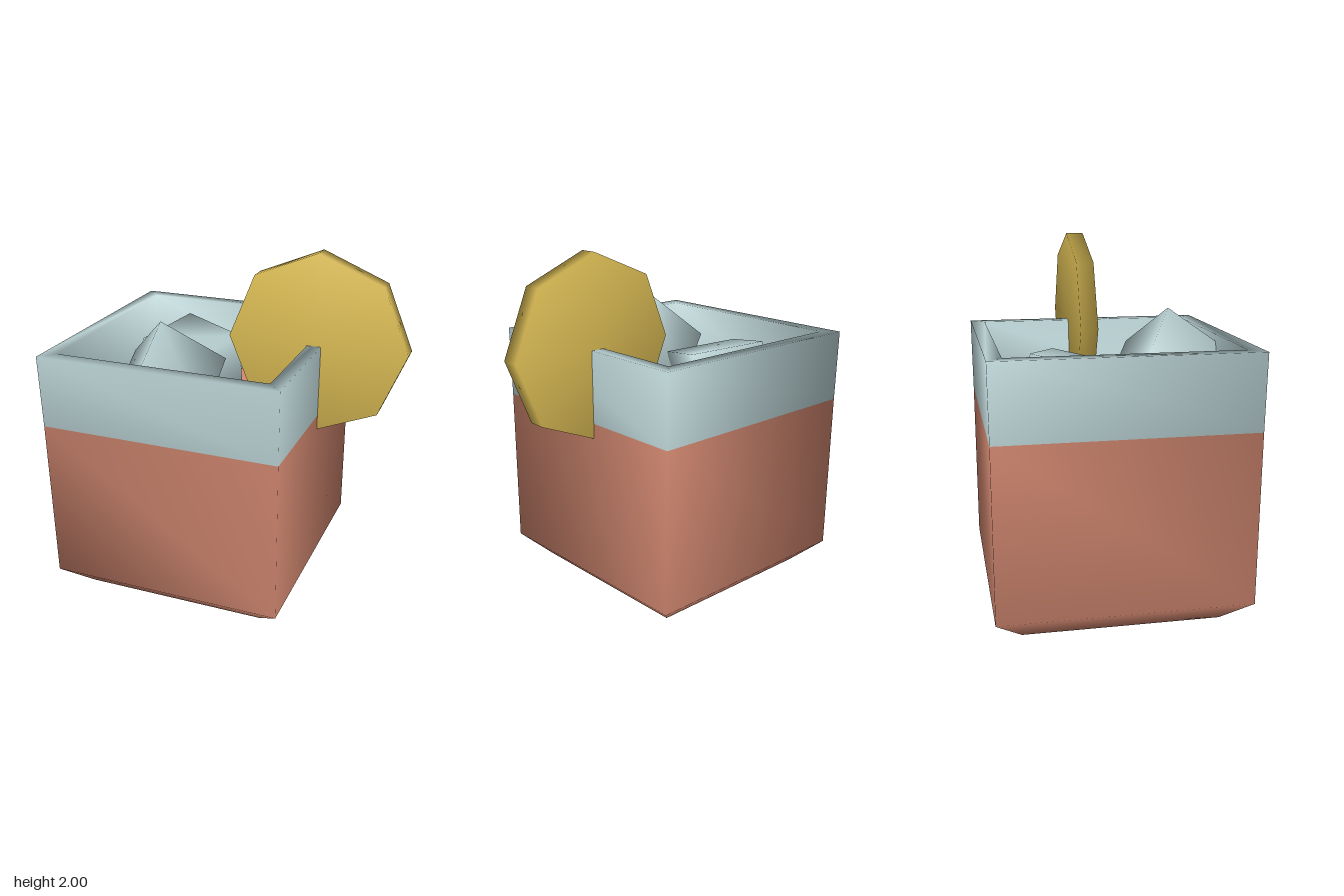
import * as THREE from 'three';
import { mergeVertices } from 'three/addons/utils/BufferGeometryUtils.js';

const mat = (name, color) => {
  const m = new THREE.MeshStandardMaterial({ color });
  m.name = name;
  return m;
};

// Shares all corners so the shading runs softly over the edges
function smooth(geometry) {
  geometry.deleteAttribute('normal');
  geometry.deleteAttribute('uv');
  const merged = mergeVertices(geometry);
  merged.computeVertexNormals();
  return merged;
}

// Square rings [half width, height] lofted from the base up and over the rim
function squareLoft(rings, splitRing) {
  const positions = [], index = [0, 1, 2, 0, 2, 3];
  for (const [h, y] of rings) {
    positions.push(-h, y, -h, h, y, -h, h, y, h, -h, y, h);
  }
  for (let r = 0; r < rings.length - 1; r++) {
    for (let i = 0; i < 4; i++) {
      const j = (i + 1) % 4;
      const a = r * 4 + i, b = r * 4 + j, c = a + 4, d = b + 4;
      index.push(a, c, d, a, d, b);
    }
  }
  const g = new THREE.BufferGeometry();
  g.setAttribute('position', new THREE.Float32BufferAttribute(positions, 3));
  g.setIndex(index);
  g.computeVertexNormals();
  const split = 6 + splitRing * 24;
  g.addGroup(0, split, 0);
  g.addGroup(split, index.length - split, 1);
  return g;
}

// Ice cube spanned by three edges from one corner
function iceCube(corner, e1, e2, e3) {
  const v = (a) => new THREE.Vector3(...a);
  const m = new THREE.Matrix4().makeBasis(v(e1), v(e2), v(e3)).setPosition(v(corner));
  return smooth(new THREE.BoxGeometry(1, 1, 1).translate(0.5, 0.5, 0.5)).applyMatrix4(m);
}

export function createModel() {
  const group = new THREE.Group();
  const drink = mat('coral drink', 0xd78b73);
  const ice = mat('pale ice blue', 0xbdd5d7);
  const fruit = mat('lemon yellow', 0xdcbd55);

  const add = (name, geometry, material, x = 0, y = 0, z = 0) => {
    const mesh = new THREE.Mesh(geometry, material);
    mesh.name = name;
    mesh.position.set(x, y, z);
    group.add(mesh);
    return mesh;
  };

  // Square tumbler: filled lower part, clear band, rim and inner wall
  const cx = -0.245;
  const rings = [[0.535, 0], [0.68, 0.135], [0.685, 1.07], [0.69, 1.48], [0.61, 1.48], [0.55, 1.07]];
  add('tumbler', squareLoft(rings, 2), [drink, ice], cx);

  // Drink surface
  add('drinkSurface', new THREE.PlaneGeometry(1.1, 1.1).rotateX(-Math.PI / 2), drink, cx, 1.07);

  // Ice cubes
  const cubes = smoothCubes();
  cubes.forEach((g, i) => {
    const mesh = add(i ? 'backIceCube' : 'frontIceCube', g, ice);
    mesh.geometry.computeVertexNormals();
  });

  // Fruit slice pushed over the rim
  const slice = smooth(new THREE.CylinderGeometry(0.513, 0.513, 0.1, 8).rotateX(Math.PI / 2));
  add('fruitSlice', slice, fruit, 0.417, 1.487, -0.05);

  return group;
}

function smoothCubes() {
  return [
    iceCube([-0.365, 1.635, 0.33], [0, -0.24, 0.345], [-0.265, -0.26, -0.19], [0.315, -0.226, -0.16]),
    iceCube([-0.54, 1.44, -0.44], [0.4, -0.045, 0.17], [-0.15, -0.07, 0.36], [-0.01, -0.41, -0.08]),
  ];
}
